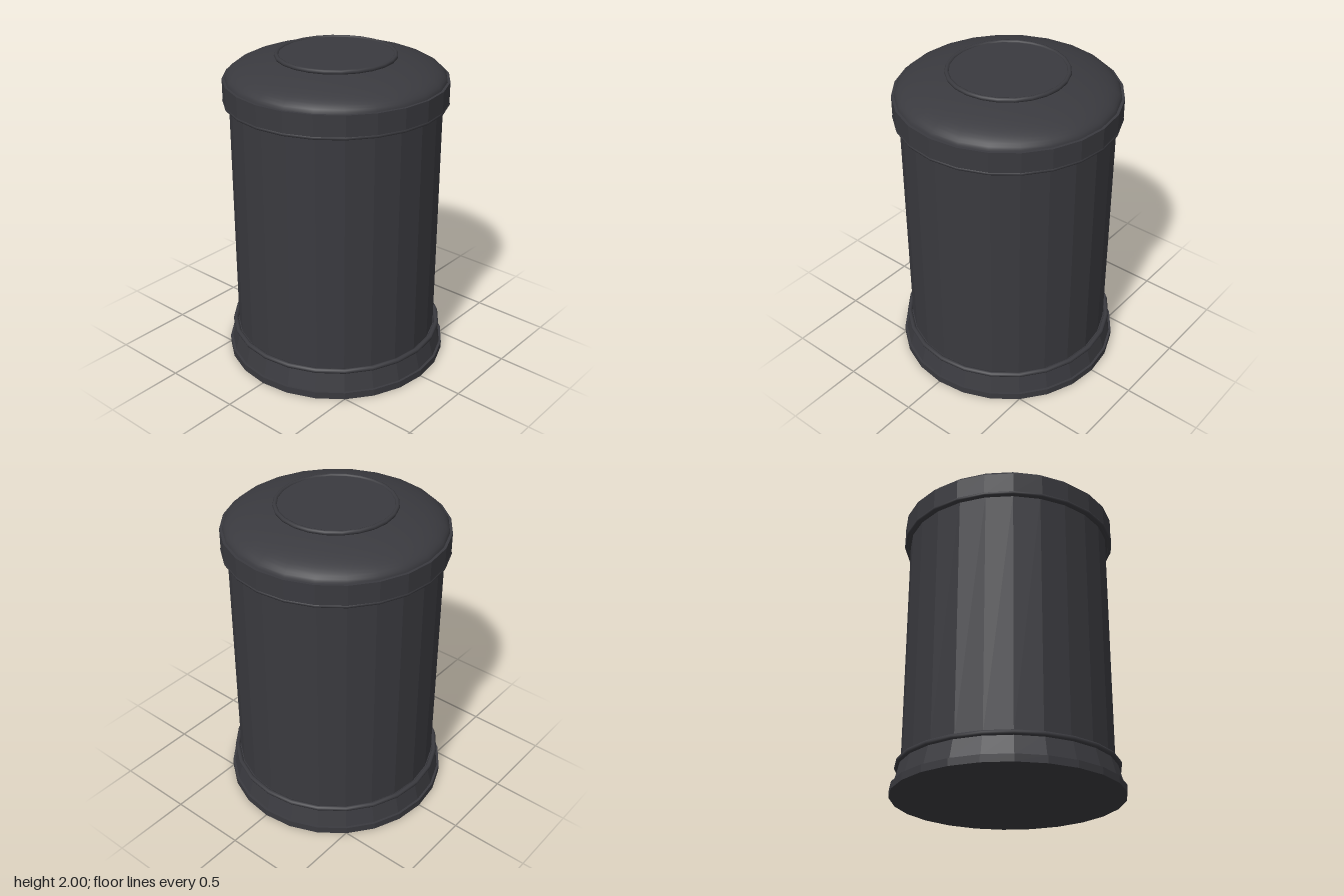
import * as THREE from 'three';

const SIDES = 24;

export function createModel() {
  const group = new THREE.Group();
  group.name = 'canister';

  // One dark charcoal colour, faceted on the walls and smooth on the dome and beads
  const charcoal = new THREE.MeshStandardMaterial({ color: 0x3a3a3f });
  charcoal.name = 'charcoal';

  const add = (name, geometry, y = 0) => {
    const mesh = new THREE.Mesh(geometry, charcoal);
    mesh.name = name;
    mesh.position.y = y;
    group.add(mesh);
  };

  // Faceted drum: separate corners give every side its own flat normal
  const drum = (name, rTop, rBottom, y0, y1) => {
    const geometry = new THREE.CylinderGeometry(rTop, rBottom, y1 - y0, SIDES).toNonIndexed();
    geometry.computeVertexNormals();
    add(name, geometry, (y0 + y1) / 2);
  };

  // Rounded bead running around the canister
  const bead = (name, radius, tube, y) => {
    const geometry = new THREE.TorusGeometry(radius, tube, 8, SIDES);
    geometry.rotateX(Math.PI / 2);
    add(name, geometry, y);
  };

  // Base
  drum('basePlate', 0.71, 0.71, 0, 0.045);
  drum('baseSkirt', 0.66, 0.695, 0.045, 0.18);
  bead('baseBead', 0.67, 0.016, 0.18);

  // Body
  drum('body', 0.648, 0.648, 0.18, 1.72);

  // Lid
  drum('lidBand', 0.685, 0.685, 1.71, 1.85);
  bead('lidBead', 0.675, 0.013, 1.715);

  // Flattened dome, cut open where the top cap sits
  const profile = [];
  const end = Math.acos(0.34 / 0.67);
  for (let i = 0; i <= 12; i++) {
    const a = (end * i) / 12;
    profile.push(new THREE.Vector2(0.67 * Math.cos(a), 1.845 + 0.155 * Math.sin(a)));
  }
  add('lidDome', new THREE.LatheGeometry(profile, SIDES));

  // Top cap with its rim
  drum('topCap', 0.35, 0.35, 1.95, 1.99);
  bead('topRim', 0.357, 0.014, 1.986);

  return group;
}
